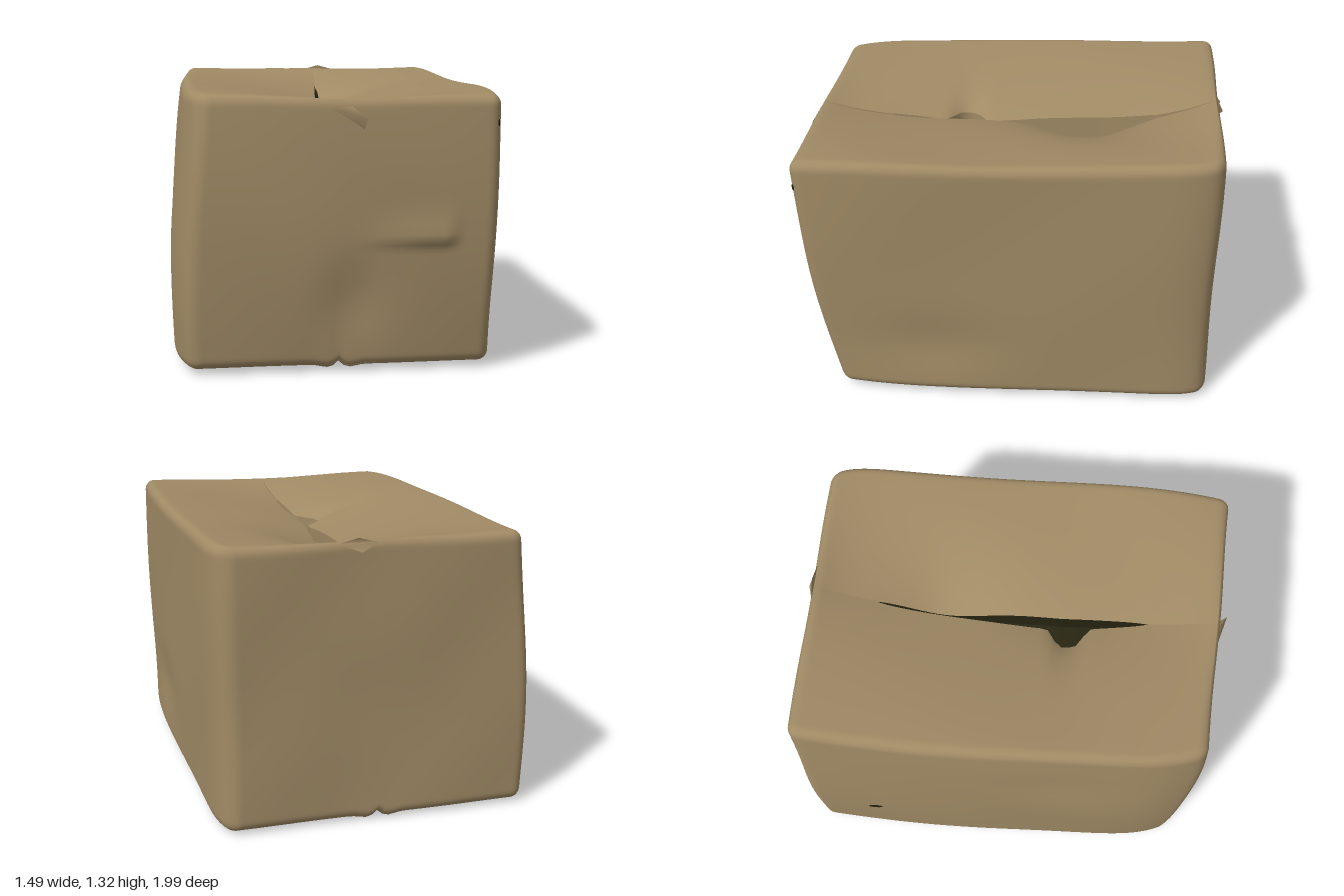
import * as THREE from 'three';
import { mergeVertices, mergeGeometries } from 'three/addons/utils/BufferGeometryUtils.js';

const HALF = new THREE.Vector3(0.73, 0.635, 0.95), RADIUS = 0.05, N = 36;
const bell = (a, centre, width) => Math.exp(-(((a - centre) / width) ** 2));

// Crowds grid lines towards the edges of the box
function ease(q) {
  const m = Math.min(1, Math.abs(q));
  return Math.sign(q) * (m > 0.9999 ? 1 : 1 - (1 - m) ** 1.4);
}

// Maps a point of the cube [-1,1]^3 to the worn box; half is the side of the seam (-1 or 1)
function shape(u, v, w, half) {
  const p = new THREE.Vector3(u, v, w).multiply(HALF);
  const inner = HALF.clone().subScalar(RADIUS);
  const core = p.clone().clamp(inner.clone().negate(), inner);
  p.copy(core.clone().add(p.clone().sub(core).setLength(RADIUS)));
  const a = p.x / HALF.x, t = (p.y / HALF.y + 1) / 2, c = p.z / HALF.z;

  // leaning walls with blunted upright corners
  const frontZ = 0.83 + 0.115 * (1 - (1 - t) ** 2) + 0.05 * a * t;
  const backZ = 0.97 - 0.03 * a;
  const rightX = 0.73 - 0.01 * c - (c > 0 ? 0.035 * c ** 4 : 0.06 * c ** 12);
  const leftX = 0.742 + 0.013 * Math.sin(Math.PI * t) - 0.06 * t * t - (c > 0 ? 0.08 * c ** 6 : 0.04 * c * c);
  const topY = 1.28 + (c < 0 ? 0.035 * c * c : -0.023 * c ** 4);
  const bottomY = 0.022 + 0.008 * c;
  let x = a * (a > 0 ? rightX : leftX);
  let z = c * (c > 0 ? frontZ : backZ);
  let y = bottomY + t * (topY - bottomY);

  // sagging top flaps, wavering seam and torn opening
  const near = 1 - Math.abs(u), open = Math.sqrt(Math.max(0, 1 - ((z + 0.04) / 0.64) ** 2));
  if (v > 0) {
    x += (0.03 - 0.05 * z + 0.07 * Math.max(0, z - 0.2)) * near * t ** 6;
    if (v === 1) {
      const end = 1 - w ** 4;
      y -= 0.108 * end * near ** 1.3;
      y -= end * near ** 3 * (half > 0 ? 0.012 + 0.085 * bell(z, -0.35, 0.23) : 0.045 * bell(z, 0.2, 0.3));
      const bite = half < 0 ? 0.09 * Math.exp(-(((z - 0.24) / 0.075) ** 4)) : 0;
      x += half * (0.023 * open + bite) * near ** 3;
    }
  } else {
    // crease along the bottom seam
    y += (0.022 * near ** 36 - 0.014 * w * w * bell(Math.abs(u), 0.07, 0.06)) * (1 - t) ** 6;
  }

  // dents and folds in the walls
  if (w === 1) {
    const fold = THREE.MathUtils.smoothstep(x, 0, 0.42) * (1 - THREE.MathUtils.smoothstep(x, 0.45, 0.54));
    z += 0.022 * fold * bell(y, 0.615, y > 0.615 ? 0.1 : 0.02);
    z -= 0.028 * bell(x, 0.06, 0.14) * bell(y, 0.33, 0.2);
  }
  if (u === 1) x -= 0.02 * bell(z, 0.35, 0.3) * bell(y, 0.3, 0.16);
  if (u === -1) x += 0.012 * bell(z, 0.2, 0.3) * bell(y, 0.9, 0.2);
  if (w === -1) z += 0.012 * bell(x, 0.1, 0.2) * bell(y, 0.6, 0.25);
  x += 0.004 * Math.sin(5 * y + 4 * z);
  y += 0.004 * Math.sin(6 * x + 5 * z) * t;
  z += 0.004 * Math.sin(7 * x + 6 * y);
  return new THREE.Vector3(x, y, z);
}

// One half of the box, left open along the seam
function halfBox(half) {
  const g = new THREE.BoxGeometry(1, 2, 2, N, 2 * N, 2 * N);
  const skipped = g.groups[half > 0 ? 1 : 0];
  g.setIndex([...g.index.array].filter((_, i) => i < skipped.start || i >= skipped.start + skipped.count));
  g.clearGroups();
  g.translate(half * 0.5, 0, 0);
  g.deleteAttribute('uv');
  g.deleteAttribute('normal');
  const pos = g.attributes.position;
  for (let i = 0; i < pos.count; i++) {
    const p = shape(ease(pos.getX(i)), ease(pos.getY(i)), ease(pos.getZ(i)), half);
    pos.setXYZ(i, p.x, p.y, p.z);
  }
  return g;
}

function shell() {
  const g = mergeVertices(mergeGeometries([halfBox(-1), halfBox(1)]), 1e-4);
  g.computeVertexNormals();
  return g;
}

// Ribbon along the top seam; rail(w) returns its two edge points
function seamRibbon(rail) {
  const points = [], index = [];
  for (let i = 0; i <= 2 * N; i++) {
    points.push(...rail(ease(i / N - 1)));
    const k = 2 * i;
    if (i > 0) index.push(k - 2, k, k - 1, k - 1, k, k + 1);
  }
  const g = new THREE.BufferGeometry().setFromPoints(points);
  g.setIndex(index);
  g.computeVertexNormals();
  return g;
}

// Thin loose scrap spanned by a few corners
function scrap(points) {
  const g = new THREE.BufferGeometry().setFromPoints(points.map((p) => new THREE.Vector3(...p)));
  const index = [];
  for (let i = 1; i < points.length - 1; i++) index.push(0, i, i + 1);
  g.setIndex(index);
  g.computeVertexNormals();
  return g;
}

export function createModel() {
  const group = new THREE.Group();
  const cardboard = new THREE.MeshStandardMaterial({ color: 0xa08a65, side: THREE.DoubleSide });
  cardboard.name = 'cardboard';
  const shade = new THREE.MeshStandardMaterial({ color: 0x262411, side: THREE.DoubleSide });
  shade.name = 'dark inside';
  const add = (name, geometry, material) => {
    const mesh = new THREE.Mesh(geometry, material);
    mesh.name = name;
    group.add(mesh);
    return mesh;
  };

  add('boxShell', shell(), cardboard);

  // folded edge of the right flap and the dark pocket under the opening
  const edge = (w, half, drop) => {
    const p = shape(0, 1, w, half);
    p.y -= drop * (1 - w ** 4);
    return p;
  };
  add('flapEdge', seamRibbon((w) => [edge(w, -1, 0), edge(w, -1, 0.12)]), cardboard);
  add('openingPocket', seamRibbon((w) => [edge(w, -1, 0.12), edge(w, 1, 0.1)]), shade);
  add('pocketWall', seamRibbon((w) => [edge(w, 1, 0.1), edge(w, 1, 0)]), shade);

  // loose flap ends at the seam
  add('frontFlapEnd', scrap([[-0.08, 1.21, 0.93], [0.02, 1.14, 0.945], [0.09, 1.11, 0.95], [0.1, 1.16, 0.99], [0.04, 1.21, 0.955]]), cardboard);
  add('backFlapEnd', scrap([[0.02, 1.295, -0.96], [0.11, 1.32, -0.965], [0.2, 1.295, -0.95], [0.1, 1.26, -0.985]]), cardboard);

  // dark slit in the bottom seam
  const slit = add('bottomSlit', new THREE.PlaneGeometry(0.016, 0.36), shade);
  slit.rotation.x = Math.PI / 2;
  slit.position.copy(shape(0, -1, -0.08, 1));
  slit.position.y -= 0.006;

  // small punctures in a side wall and a front corner
  const puncture = (name, yaw, at, width, height) => {
    const hole = add(name, new THREE.CircleGeometry(1, 10), shade);
    hole.scale.set(width, height, 1);
    hole.rotation.y = yaw;
    hole.position.copy(at).add(new THREE.Vector3(Math.sin(yaw), 0, Math.cos(yaw)).multiplyScalar(0.005));
  };
  puncture('sidePuncture', -Math.PI / 2, shape(-1, -0.4, -0.68, -1), 0.036, 0.024);
  puncture('cornerPuncture', Math.PI / 4, shape(1, 0.8, 1, 1), 0.01, 0.016);

  return group;
}
